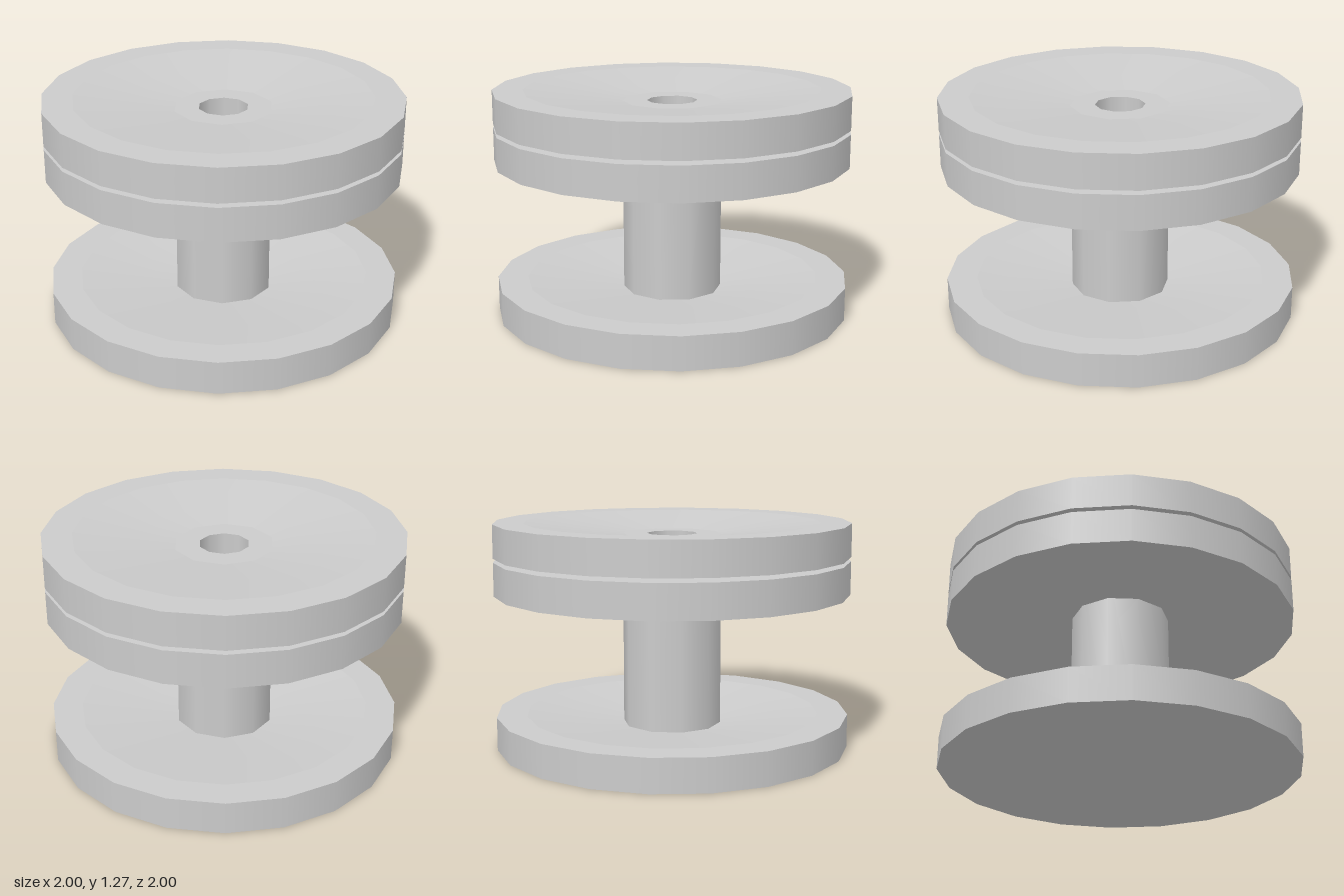
import * as THREE from 'three';
import { mergeGeometries } from 'three/addons/utils/BufferGeometryUtils.js';

const HUB = 0.278;      // column radius and flat hub of each dish
const BORE = 0.14;      // radius of the central hole
const DISH = 0.83;      // where the flat rim turns into the dish
const HEIGHT = 0.188;   // disc thickness at the rim
const DEPTH = 0.065;    // dish depth on each face
const COLUMN_SIDES = 10;

const material = new THREE.MeshStandardMaterial({ color: 0xcccccc });

// Revolves each profile segment on its own: smooth around, sharp between bands.
// With 20 sides, rings up to the hub become 10-sided so they meet the column.
function revolve(profile, sides) {
  const bands = [];
  for (let i = 0; i < profile.length - 1; i++) {
    const pair = [profile[i], profile[i + 1]].map(([r, y]) => new THREE.Vector2(r, y));
    const band = new THREE.LatheGeometry(pair, sides, Math.PI / 2);
    if (sides > COLUMN_SIDES) {
      const pos = band.attributes.position;
      const k = Math.cos(Math.PI / COLUMN_SIDES);
      for (let v = 0; v < pos.count; v++) {
        const odd = Math.floor(v / 2) % 2 === 1;
        if (odd && pair[v % 2].x <= HUB) {
          pos.setX(v, pos.getX(v) * k);
          pos.setZ(v, pos.getZ(v) * k);
        }
      }
    }
    bands.push(band);
  }
  return mergeGeometries(bands);
}

function part(name, geometry, y = 0) {
  const mesh = new THREE.Mesh(geometry, material);
  mesh.name = name;
  mesh.position.y = y;
  return mesh;
}

// Disc dished on both faces, with the given central opening below and above
function disc(lowerHole, upperHole) {
  const lower = [[HUB, DEPTH], [DISH, 0], [1, 0]];
  const upper = [[1, HEIGHT], [DISH, HEIGHT], [HUB, HEIGHT - DEPTH]];
  if (lowerHole < HUB) lower.unshift([lowerHole, DEPTH]);
  if (upperHole < HUB) upper.push([upperHole, HEIGHT - DEPTH]);
  return revolve([...lower, ...upper], 20);
}

export function createModel() {
  const group = new THREE.Group();
  group.name = 'discStack';

  const middleY = 0.874;
  const topY = 1.084;
  group.add(part('baseDisc', disc(0, 0)));
  group.add(part('middleDisc', disc(HUB, HUB), middleY));
  group.add(part('topDisc', disc(BORE, BORE), topY));

  // Hollow column: outer wall up to the top disc, bore down to the base
  const floor = HEIGHT - DEPTH;
  group.add(part('column', revolve([[HUB, floor], [HUB, topY + DEPTH]], COLUMN_SIDES)));
  group.add(part('bore', revolve([[BORE, topY + HEIGHT - DEPTH], [BORE, floor]], COLUMN_SIDES)));

  return group;
}
